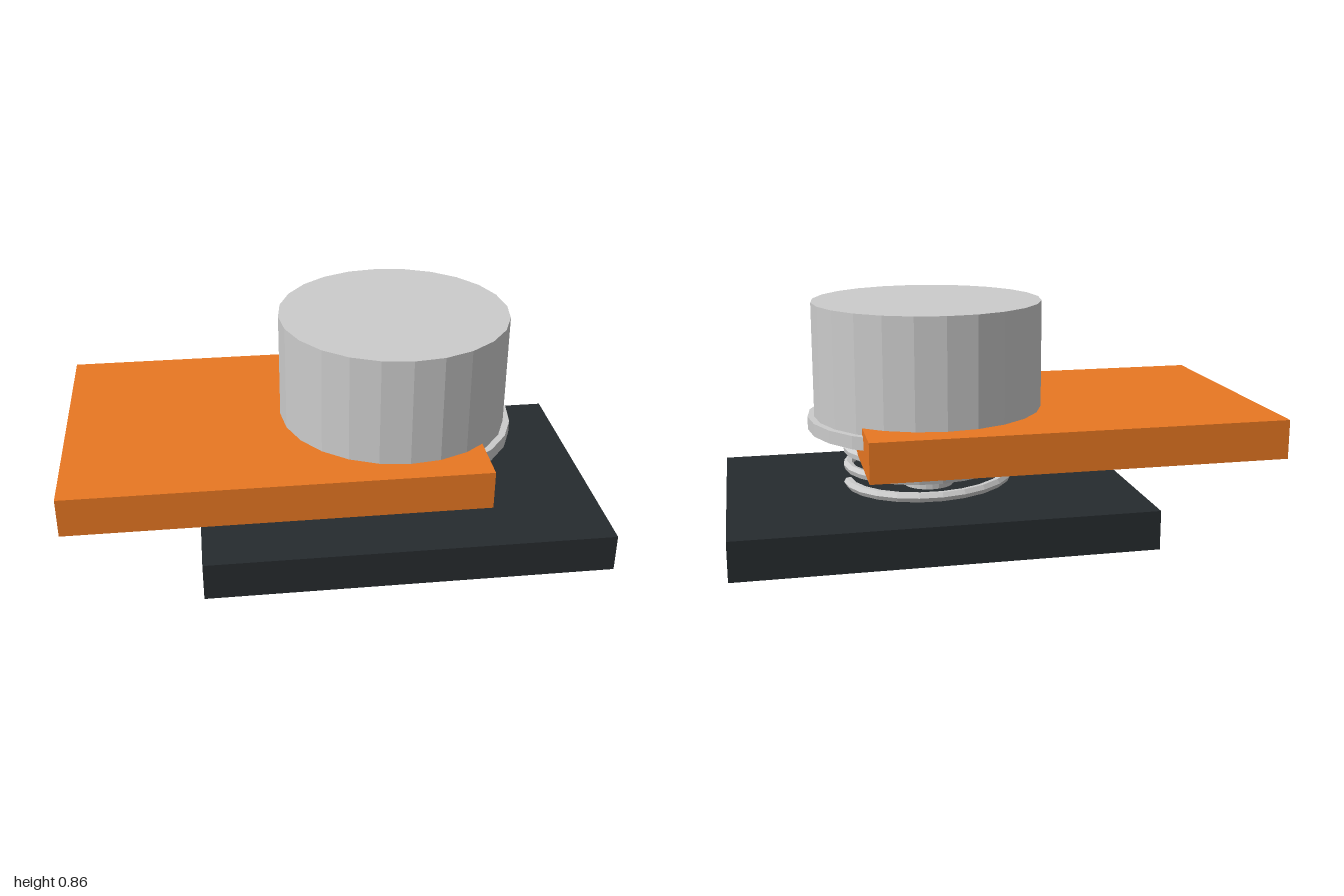
import * as THREE from 'three';

const AXIS_X = 0.235; // shared axis of button, stem and spring

export function createModel() {
  const model = new THREE.Group();
  const grey = new THREE.MeshStandardMaterial({ color: 0xcccccc, flatShading: true });
  const orange = new THREE.MeshStandardMaterial({ color: 0xe87722 });
  const dark = new THREE.MeshStandardMaterial({ color: 0x262b2e });

  const add = (name, geometry, material, x = 0, y = 0, z = 0) => {
    const mesh = new THREE.Mesh(geometry, material);
    mesh.name = name;
    mesh.position.set(x, y, z);
    model.add(mesh);
    return mesh;
  };
  const slab = (name, x0, x1, y0, y1, material) =>
    add(name, new THREE.BoxGeometry(x1 - x0, y1 - y0, 1.05), material, (x0 + x1) / 2, (y0 + y1) / 2);
  const disc = (name, radius, y0, y1) =>
    add(name, new THREE.CylinderGeometry(radius, radius, y1 - y0, 24), grey, AXIS_X, (y0 + y1) / 2);

  // Two offset plates
  slab('basePlate', -0.52, 1, 0, 0.145, dark);
  slab('upperPlate', -1, 0.52, 0.31, 0.455, orange);

  // Push button with a retaining flange and a stem down to the base
  disc('buttonCap', 0.43, 0.43, 0.858);
  disc('buttonFlange', 0.455, 0.382, 0.43);
  disc('stem', 0.095, 0.14, 0.385);

  // Three-turn return spring, rising from +x towards -z
  const turns = 3, coilRadius = 0.307, wireRadius = 0.019, y0 = 0.168, y1 = 0.36;
  class Helix extends THREE.Curve {
    getPoint(t, target = new THREE.Vector3()) {
      const a = t * turns * Math.PI * 2;
      return target.set(Math.cos(a) * coilRadius, y0 + (y1 - y0) * t, -Math.sin(a) * coilRadius);
    }
  }
  const helix = new Helix();
  add('spring', new THREE.TubeGeometry(helix, turns * 24, wireRadius, 6, false), grey, AXIS_X);

  // Closed wire ends
  for (const t of [0, 1]) {
    const end = add('springEnd', new THREE.CircleGeometry(wireRadius, 6), grey);
    const outward = helix.getTangent(t).multiplyScalar(t ? 1 : -1);
    end.quaternion.setFromUnitVectors(new THREE.Vector3(0, 0, 1), outward);
    end.position.copy(helix.getPoint(t)).add(new THREE.Vector3(AXIS_X, 0, 0));
  }

  return model;
}
